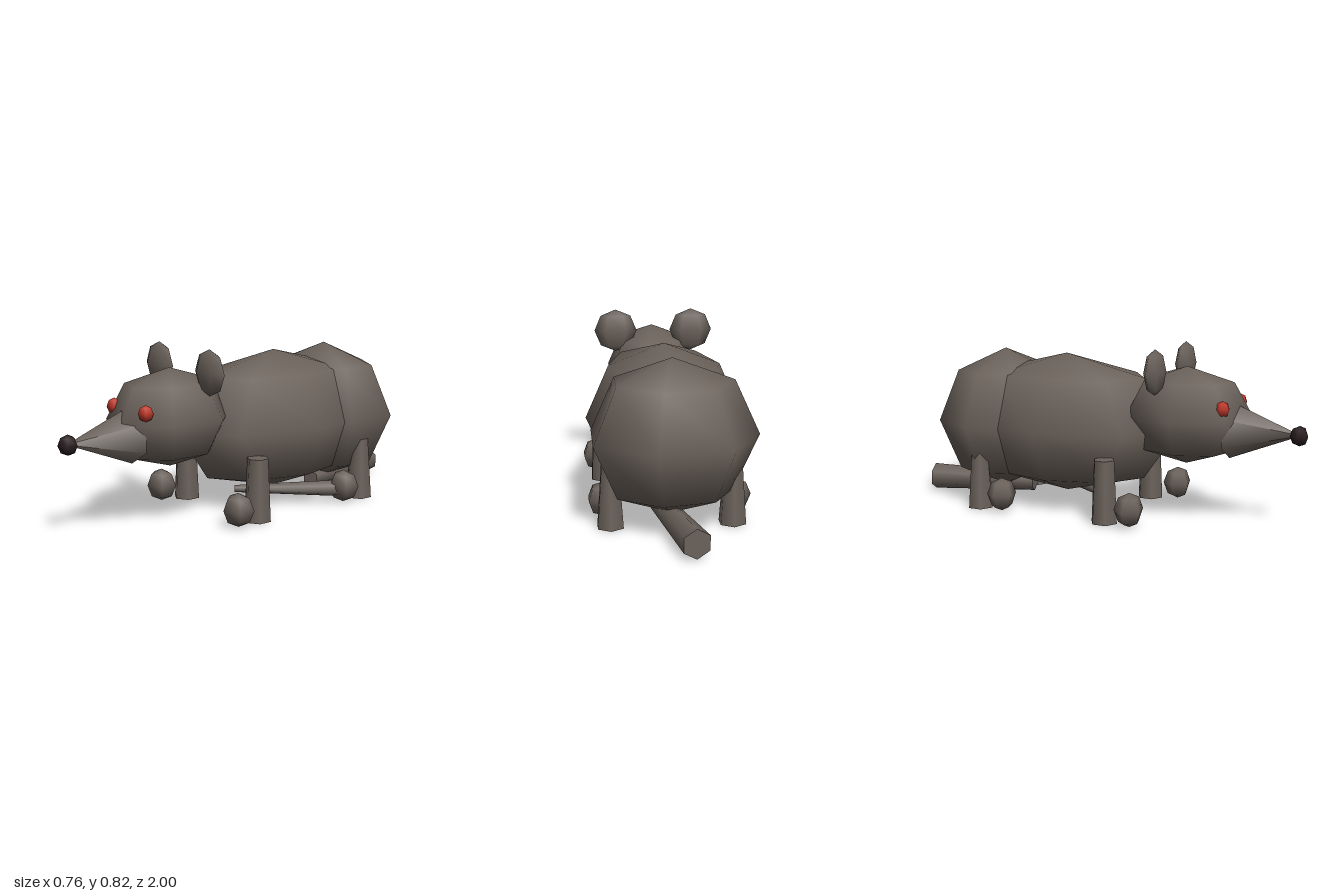
import * as THREE from 'three';

const paint = (name, color) => {
  const m = new THREE.MeshStandardMaterial({ color });
  m.name = name;
  return m;
};

export function createModel() {
  const fur = paint('fur', 0x6b625b);
  const red = paint('eyeRed', 0xc0392b);
  const dark = paint('noseDark', 0x2b1e21);

  const model = new THREE.Group();
  model.name = 'rat';
  const MID = 0.01; // x of the animal's centre line

  const add = (name, geometry, material, x, y, z) => {
    const mesh = new THREE.Mesh(geometry, material);
    mesh.name = name;
    mesh.position.set(x, y, z);
    model.add(mesh);
    return mesh;
  };

  // Coarse ball stretched to the given radii
  const blob = (name, material, segments, [x, y, z], [rx, ry, rz]) =>
    add(name, new THREE.SphereGeometry(1, segments, 4).scale(rx, ry, rz), material, x, y, z);

  // Level six-sided taper between two points of equal height
  const taper = (name, y, [x0, z0, r0], [x1, z1, r1]) => {
    const length = Math.hypot(x1 - x0, z1 - z0);
    const geometry = new THREE.CylinderGeometry(r1, r0, length, 6).rotateX(Math.PI / 2);
    const mesh = add(name, geometry, fur, (x0 + x1) / 2, y, (z0 + z1) / 2);
    mesh.rotation.y = Math.atan2(x1 - x0, z1 - z0);
  };

  // Trunk and head
  blob('body', fur, 8, [MID, 0.41, -0.23], [0.367, 0.347, 0.594]);
  blob('rump', fur, 7, [MID, 0.412, -0.58], [0.39, 0.353, 0.316]);
  blob('head', fur, 7, [MID, 0.494, 0.41], [0.245, 0.232, 0.32]);

  // Snout and nose
  taper('snout', 0.44, [MID, 0.625, 0.135], [MID, 0.965, 0]);
  blob('nose', dark, 5, [MID, 0.438, 0.957], [0.047, 0.047, 0.045]);

  // Paired parts
  for (const [side, s] of [['left', 1], ['right', -1]]) {
    blob(side + 'Ear', fur, 6, [MID + s * 0.192, 0.714, 0.325], [0.107, 0.107, 0.04]);
    blob(side + 'Eye', red, 5, [MID + s * 0.125, 0.555, 0.632], [0.037, 0.038, 0.036]);

    for (const [end, legZ, pawZ, top] of [['Front', 0.107, 0.247, 0.052], ['Back', -0.575, -0.437, 0.043]]) {
      add(side + end + 'Leg', new THREE.CylinderGeometry(top, 0.066, 0.302, 6), fur,
        MID + s * 0.274, 0.151, legZ);
      blob(side + end + 'Paw', fur, 5, [MID + s * 0.3, 0.083, pawZ], [0.081, 0.081, 0.071]);
    }
  }

  // Tail in two lengths, the thin one lying under the belly
  taper('tailBase', 0.069, [-0.05, -0.988, 0.067], [0.06, -0.45, 0.046]);
  taper('tailTip', 0.071, [0.3, -0.42, 0.042], [-0.027, -0.01, 0.018]);

  return model;
}
